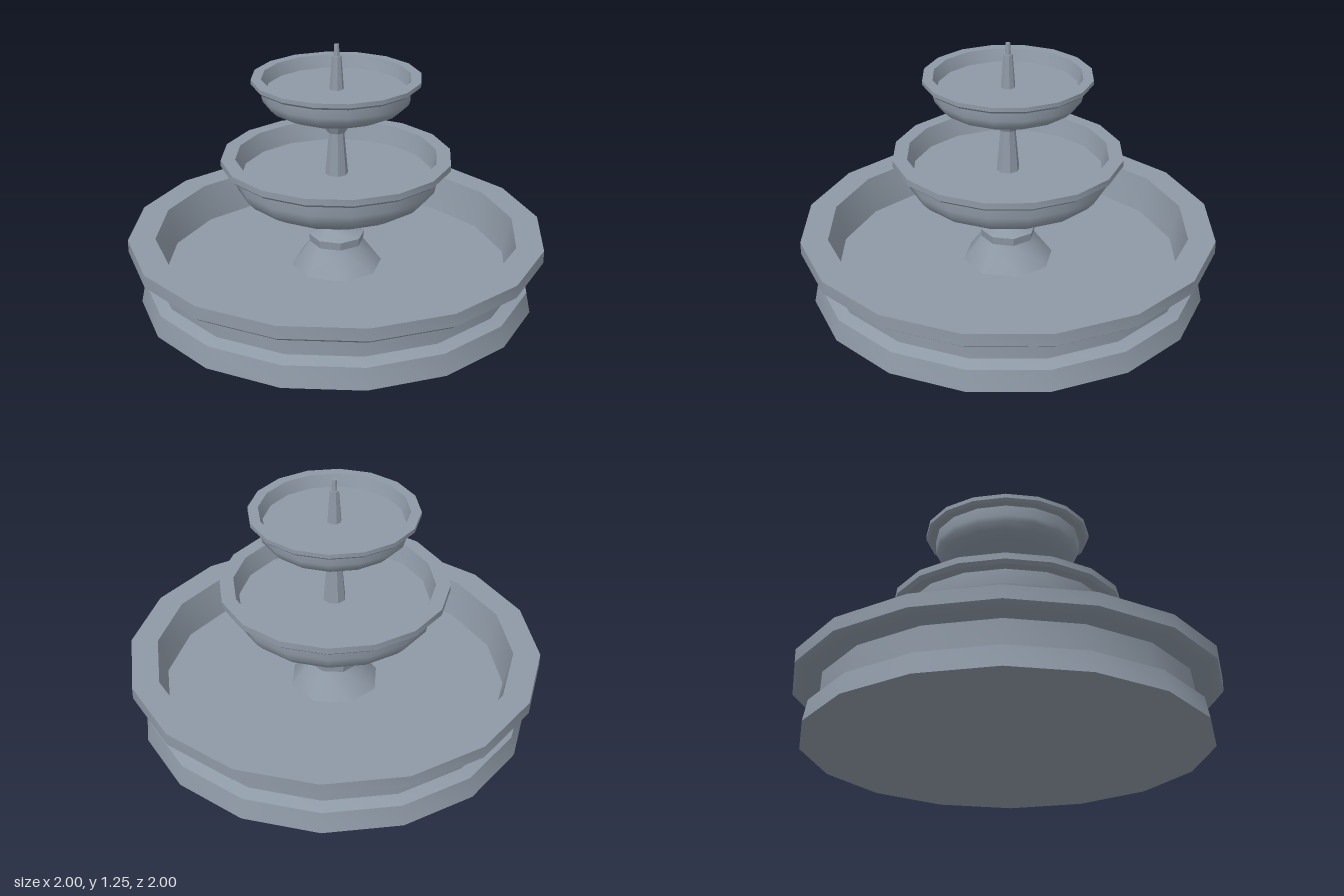
import * as THREE from 'three';
import { toCreasedNormals } from 'three/addons/utils/BufferGeometryUtils.js';

const stone = new THREE.MeshStandardMaterial({ color: 0x8e99a6 });
stone.name = 'stone';

// Turns a [radius, height] profile, listed from the bottom up the outside
function turned(name, sides, profile) {
  const points = profile.map(([r, y]) => new THREE.Vector2(r, y));
  const geometry = toCreasedNormals(new THREE.LatheGeometry(points, sides), 0.65);
  const mesh = new THREE.Mesh(geometry, stone);
  mesh.name = name;
  return mesh;
}

export function createModel() {
  const fountain = new THREE.Group();
  fountain.name = 'fountain';

  fountain.add(
    // Ground pool: plinth, wall, overhanging rim and sunken floor
    turned('poolBasin', 16, [
      [0, 0], [0.95, 0], [0.93, 0.1], [0.875, 0.123], [0.875, 0.24], [0.97, 0.245],
      [1, 0.267], [1, 0.328], [0.87, 0.328], [0.83, 0.15], [0, 0.15],
    ]),
    // Pedestal with a flared foot and a collar under the middle bowl
    turned('lowerPedestal', 8, [
      [0.22, 0.15], [0.13, 0.27], [0.135, 0.31], [0.08, 0.335], [0.065, 0.348],
      [0.055, 0.43], [0.13, 0.46], [0.145, 0.49],
    ]),
    turned('middleBowl', 16, [
      [0, 0.49], [0.37, 0.49], [0.437, 0.527], [0.472, 0.565], [0.48, 0.6], [0.48, 0.667],
      [0.53, 0.667], [0.548, 0.682], [0.548, 0.712], [0.48, 0.712], [0.455, 0.62], [0, 0.62],
    ]),
    // Tapered column with a capital under the top bowl
    turned('upperPedestal', 8, [
      [0.055, 0.62], [0.036, 0.83], [0.045, 0.83], [0.08, 0.905], [0.108, 0.905], [0.108, 0.937],
    ]),
    turned('topBowl', 16, [
      [0, 0.937], [0.26, 0.937], [0.315, 0.962], [0.343, 0.99], [0.35, 1.015], [0.35, 1.065],
      [0.385, 1.068], [0.398, 1.08], [0.398, 1.1], [0.35, 1.1], [0.33, 1.04], [0, 1.04],
    ]),
    turned('nozzle', 8, [
      [0.034, 1.04], [0.022, 1.2], [0.014, 1.2], [0.011, 1.255], [0, 1.255],
    ]),
  );
  return fountain;
}
